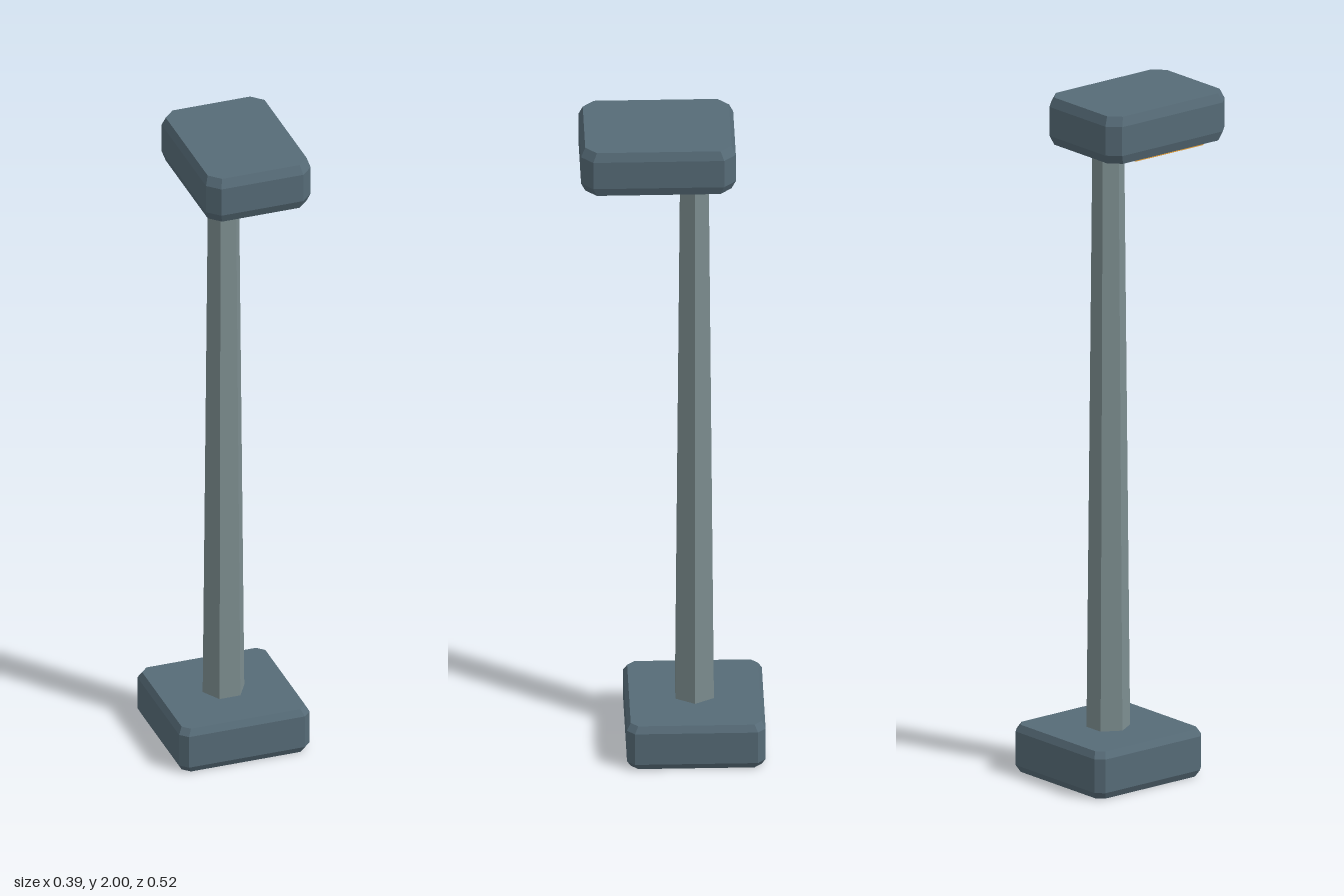
import * as THREE from 'three';

const material = (name, color) => {
  const m = new THREE.MeshStandardMaterial({ color, flatShading: true });
  m.name = name;
  return m;
};

// Box with cut corners whose top and bottom rims are drawn in slightly
function chamferedBlock(hx, hz, y0, y1, cut, bevel, inset = 0.945) {
  const ring = (y, s) => [
    [hx, hz - cut], [hx - cut, hz], [cut - hx, hz], [-hx, hz - cut],
    [-hx, cut - hz], [cut - hx, -hz], [hx - cut, -hz], [hx, cut - hz],
  ].map(([x, z]) => [x * s, y, z * s]);
  const rings = [ring(y0, inset), ring(y0 + bevel, 1), ring(y1 - bevel, 1), ring(y1, inset)];
  const pos = [];
  const tri = (a, b, c) => pos.push(...a, ...b, ...c);
  for (let r = 0; r < 3; r++) {
    for (let i = 0; i < 8; i++) {
      const j = (i + 1) % 8;
      const a = rings[r][i], b = rings[r][j], c = rings[r + 1][j], d = rings[r + 1][i];
      tri(a, c, b);
      tri(a, d, c);
    }
  }
  for (let i = 1; i < 7; i++) {
    tri(rings[0][0], rings[0][i], rings[0][i + 1]);
    tri(rings[3][0], rings[3][i + 1], rings[3][i]);
  }
  const g = new THREE.BufferGeometry();
  g.setAttribute('position', new THREE.Float32BufferAttribute(pos, 3));
  g.computeVertexNormals();
  return g;
}

export function createModel() {
  const group = new THREE.Group();
  group.name = 'lampPost';
  const body = material('slate', 0x566b77);
  const metal = material('postGrey', 0x7d8e90);
  const glow = material('amber', 0xe8a23c);
  const add = (name, geometry, mat, x, y, z) => {
    const mesh = new THREE.Mesh(geometry, mat);
    mesh.name = name;
    mesh.position.set(x, y, z);
    group.add(mesh);
    return mesh;
  };

  // Foot block
  add('base', chamferedBlock(0.197, 0.197, 0, 0.14, 0.022, 0.02), body, 0, 0, -0.065);

  // Tapered hexagonal post, flat side to the front
  const post = new THREE.CylinderGeometry(0.046, 0.063, 1.74, 6);
  post.rotateY(Math.PI / 6);
  add('post', post, metal, 0, 1.0, -0.065);

  // Lamp head reaching forward over the post
  add('head', chamferedBlock(0.158, 0.22, 1.86, 2, 0.034, 0.027), body, 0, 0, 0.041);

  // Light panel under the head
  add('lightPanel', new THREE.BoxGeometry(0.214, 0.022, 0.25), glow, 0, 1.851, 0.072);

  return group;
}
